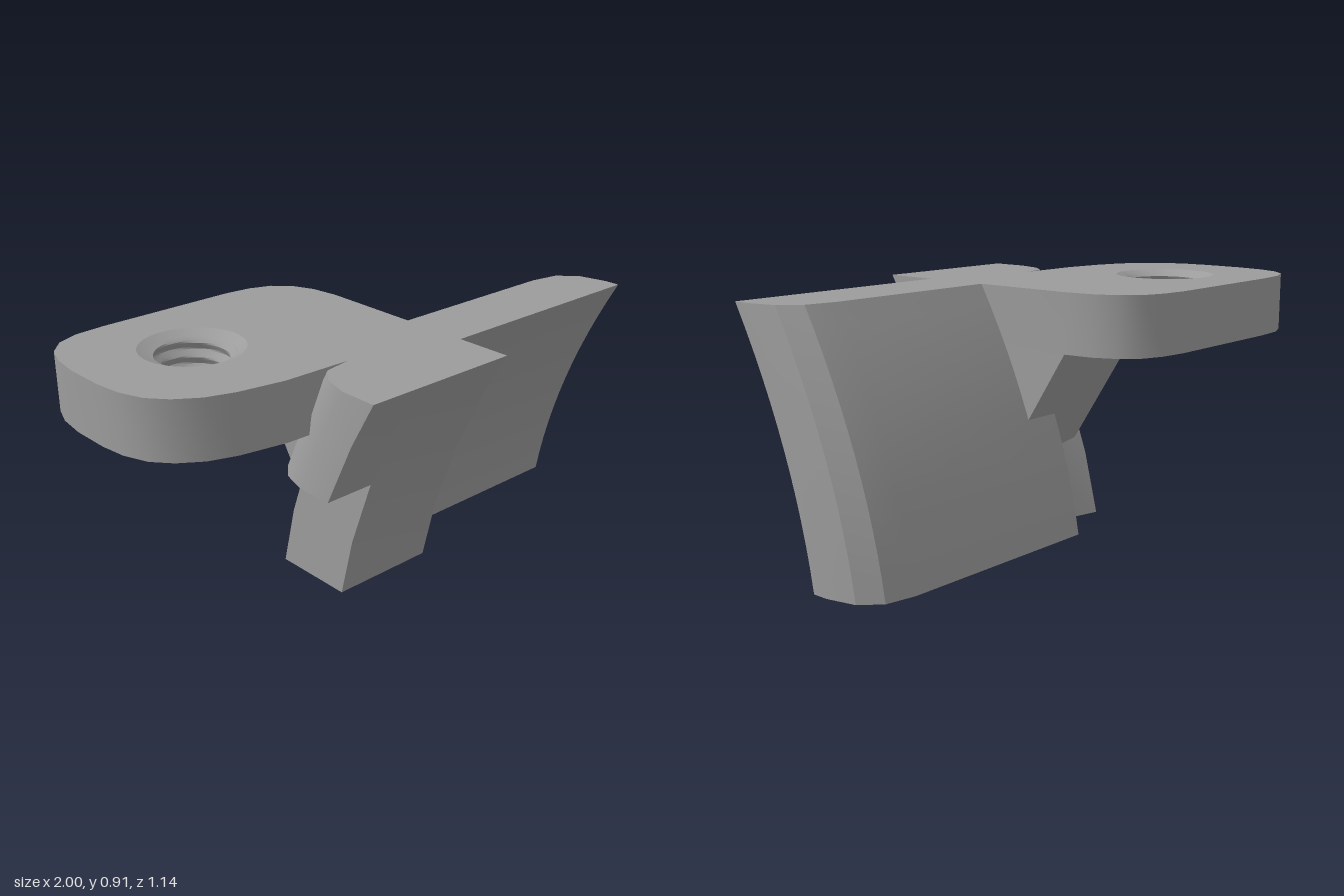
import * as THREE from 'three';
import { toCreasedNormals } from 'three/addons/utils/BufferGeometryUtils.js';

const H = 0.905;          // overall height
const FLANGE_Y = 0.69;    // underside of the flange
const BLOCK_LEVELS = [0, 0.23, 0.49, 0.73, H];
const material = new THREE.MeshStandardMaterial({ color: 0x9c9c9c });

function outline(points) {
  return new THREE.Shape(points.map(([x, z]) => new THREE.Vector2(x, -z)));
}

// Extrude an x/z outline upwards through the given heights
function slab(shape, levels) {
  const steps = levels.length - 1;
  const geo = new THREE.ExtrudeGeometry(shape, {
    depth: steps, steps, bevelEnabled: false, curveSegments: 24,
  });
  geo.rotateX(-Math.PI / 2);
  const p = geo.attributes.position;
  for (let i = 0; i < p.count; i++) p.setY(i, levels[Math.round(p.getY(i))]);
  return geo;
}

// Lean a slab forward along a parabola, reaching 'reach' at the top
function lean(geo, reach) {
  const p = geo.attributes.position;
  for (let i = 0; i < p.count; i++) {
    const t = p.getY(i) / H;
    p.setZ(i, p.getZ(i) + (reach - 0.19) * t + 0.19 * t * t);
  }
  return geo;
}

export function createModel() {
  const group = new THREE.Group();
  const add = (name, geo) => {
    const mesh = new THREE.Mesh(toCreasedNormals(geo, 0.45), material);
    mesh.name = name;
    group.add(mesh);
  };

  // Curved plate with a rounded back corner at its free end
  const plateLevels = Array.from({ length: 13 }, (_, i) => H * i / 12);
  add('curvedPlate', lean(slab(outline([
    [-0.095, 0.02], [1, 0.02], [1, -0.04], [0.975, -0.15], [0.91, -0.215],
    [0.8, -0.235], [-0.025, -0.235], [-0.095, -0.067],
  ]), plateLevels), 0.34));

  // Thick block in front of the plate
  add('frontBlock', lean(slab(outline([
    [0.12, 0.205], [0.12, -0.067], [-0.095, -0.067], [-0.29, -0.112], [-0.29, 0.205],
  ]), BLOCK_LEVELS), 0.365));

  // Upper side step with a hollow back corner
  add('sideStep', lean(slab(outline([
    [-0.2, 0.205], [-0.2, -0.08], [-0.29, -0.112], [-0.3, -0.115], [-0.4, -0.095],
    [-0.45, -0.035], [-0.48, 0.065], [-0.48, 0.205],
  ]), BLOCK_LEVELS.slice(2)), 0.365));

  // Flange with rounded corners, its front edge let into the block
  const flange = outline([
    [0.12, 0.25], [0, 0.33], [-0.2, 0.33], [-0.3, 0.25], [-0.55, 0.245],
    [-0.72, 0.215], [-0.82, 0.18], [-0.9, 0.125], [-0.955, 0.06], [-0.988, -0.03],
    [-1, -0.13], [-1, -0.28], [-0.985, -0.39], [-0.955, -0.47], [-0.9, -0.53],
    [-0.82, -0.563], [-0.7, -0.572], [-0.17, -0.572], [-0.07, -0.56], [0.01, -0.53],
    [0.07, -0.47], [0.105, -0.39], [0.12, -0.28],
  ]);
  // Hole through the flange, narrowing towards the underside
  const hx = -0.59, hz = -0.2, rTop = 0.185, rBottom = 0.1;
  flange.holes.push(new THREE.Path().absarc(hx, -hz, rTop, 0, Math.PI * 2, true));
  const flangeGeo = slab(flange, [FLANGE_Y, H]);
  const p = flangeGeo.attributes.position;
  for (let i = 0; i < p.count; i++) {
    const dx = p.getX(i) - hx, dz = p.getZ(i) - hz;
    if (p.getY(i) < FLANGE_Y + 0.01 && Math.hypot(dx, dz) < rTop + 0.01) {
      p.setX(i, hx + dx * rBottom / rTop);
      p.setZ(i, hz + dz * rBottom / rTop);
    }
  }
  add('flange', flangeGeo);

  // Helical thread inside the hole, with a countersunk rim
  const depth = H - FLANGE_Y, rows = 32, turns = 4, rimY = depth * 0.92;
  const profile = [new THREE.Vector2(rTop, depth)];
  for (let i = rows; i >= 0; i--) {
    profile.push(new THREE.Vector2(rBottom + 0.05 * i / rows, rimY * i / rows));
  }
  const thread = new THREE.LatheGeometry(profile, 48);
  const q = thread.attributes.position;
  for (let i = 0; i < q.count; i++) {
    const x = q.getX(i), y = q.getY(i), z = q.getZ(i), r = Math.hypot(x, z);
    const phase = turns * y / rimY + Math.atan2(z, x) / (Math.PI * 2) + 2;
    const ridge = y < rimY - 0.001 ? 0.018 * (1 - Math.abs(2 * (phase % 1) - 1)) : 0;
    const k = Math.max(rBottom, r - ridge) / r;
    q.setXYZ(i, hx + x * k, FLANGE_Y + y, hz + z * k);
  }
  add('holeThread', thread);

  // Sloping gusset below the flange, extruded across x
  const wedge = new THREE.Shape([[0.28, 0.69], [0.28, 0.7], [-0.2, 0.7], [0, 0.25]]
    .map(([back, y]) => new THREE.Vector2(back, y)));
  const gusset = new THREE.ExtrudeGeometry(wedge, { depth: 0.38, bevelEnabled: false });
  gusset.rotateY(Math.PI / 2).translate(-0.26, 0, 0);
  add('gusset', gusset);

  return group;
}
